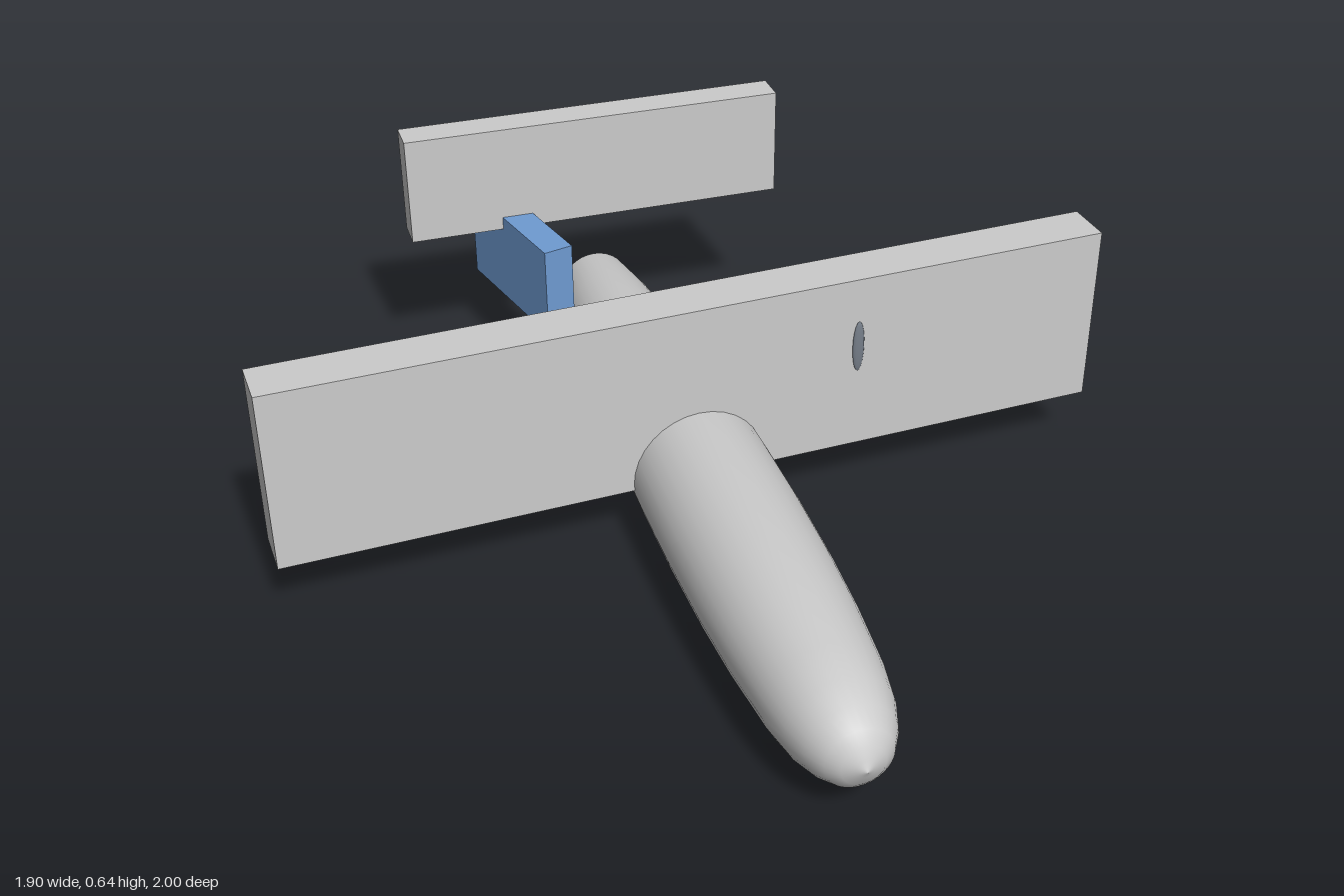
import * as THREE from 'three';

export function createModel() {
  const model = new THREE.Group();
  const grey = new THREE.MeshStandardMaterial({ color: 0xcccccc });
  const blue = new THREE.MeshStandardMaterial({ color: 0x6f9bd2 });
  const dark = new THREE.MeshStandardMaterial({ color: 0x757d88 });

  const add = (name, geometry, material, position, parent = model) => {
    const mesh = new THREE.Mesh(geometry, material);
    mesh.name = name;
    mesh.position.set(...position);
    parent.add(mesh);
    return mesh;
  };

  // Fuselage: rounded nose, gently tapered body (radius, distance along z)
  const body = [
    [0.086, -0.875], [0.108, -0.73], [0.125, -0.56], [0.139, -0.38], [0.148, -0.18],
    [0.153, 0.05], [0.154, 0.25], [0.15, 0.45], [0.142, 0.61], [0.127, 0.78],
    [0.112, 0.865], [0.093, 0.92], [0.07, 0.96], [0.045, 0.98], [0.02, 0.99], [0, 1],
  ].map(([r, z]) => new THREE.Vector2(r, z));
  const fuselage = add('fuselage', new THREE.LatheGeometry(body, 32), grey, [-0.015, 0.157, 0]);
  fuselage.rotation.x = Math.PI / 2;

  // Flat cap closing the tail end
  const cap = add('tailCap', new THREE.CircleGeometry(0.086, 32), grey, [-0.015, 0.157, -0.875]);
  cap.rotation.y = Math.PI;

  // Main wing, turned slightly about the vertical
  const wing = new THREE.Group();
  wing.name = 'wing';
  wing.position.set(-0.002, 0.353, -0.053);
  wing.rotation.y = 0.0526;
  model.add(wing);
  add('wingPanel', new THREE.BoxGeometry(1.9, 0.424, 0.112), grey, [0, 0, 0], wing);

  // Slim bulges: one on the front face, one on the back face
  for (const [name, x, z] of [['frontBulge', 0.358, 0.056], ['backBulge', -0.385, -0.056]]) {
    const bulge = add(name, new THREE.SphereGeometry(1, 12, 10), dark, [x, 0.044, z], wing);
    bulge.scale.set(0.014, 0.063, 0.006);
  }

  // Tailplane and the skewed fin beside the tail
  add('tailplane', new THREE.BoxGeometry(0.926, 0.263, 0.08), grey, [-0.017, 0.515, -0.854]);
  const fin = add('fin', new THREE.BoxGeometry(0.073, 0.224, 0.384), blue, [-0.215, 0.303, -0.801]);
  fin.rotation.y = 0.25;

  return model;
}
